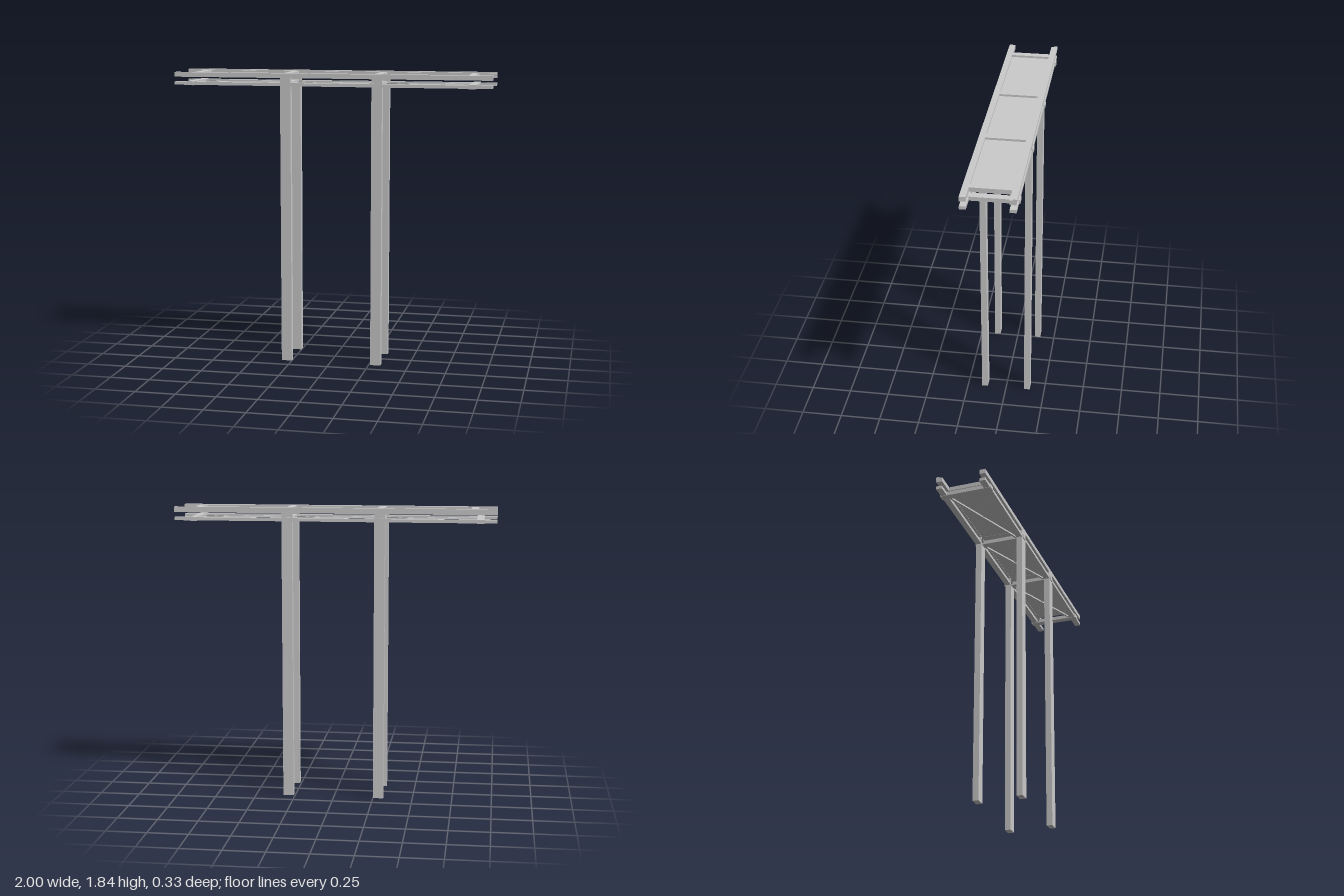
import * as THREE from 'three';

const material = new THREE.MeshStandardMaterial({ color: 0xcccccc, flatShading: true });

export function createModel() {
  const model = new THREE.Group();

  // Box given by its [min, max] extent on each axis
  function bar(name, [x0, x1], [y0, y1], [z0, z1]) {
    const mesh = new THREE.Mesh(new THREE.BoxGeometry(x1 - x0, y1 - y0, z1 - z0), material);
    mesh.name = name;
    mesh.position.set((x0 + x1) / 2, (y0 + y1) / 2, (z0 + z1) / 2);
    model.add(mesh);
    return mesh;
  }
  const around = (c, half) => [c - half, c + half];

  // Four tall posts
  const postX = [-0.283, 0.293];
  for (const x of postX)
    for (const z of [-0.137, 0.139]) bar('post', around(x, 0.033), [0, 1.81], around(z, 0.019));

  // Long rails, upper and lower, on both sides
  for (const z of [-0.139, 0.139]) {
    bar('upperRail', [-1, 1], [1.805, 1.834], around(z, 0.019));
    bar('lowerRail', [-1, 1], [1.755, 1.775], around(z, 0.019));
  }
  // Raised strip along the outer edge of the rear rail
  bar('rearLip', [-1, 1], [1.82, 1.84], [-0.161, -0.138]);

  // Deck panel, recessed between the upper rails
  bar('deck', [-0.885, 0.89], [1.807, 1.82], [-0.13, 0.13]);

  // Cross members framing the deck
  for (const x of [-0.862, -0.283, 0.29, 0.87])
    bar('deckCrossbar', around(x, 0.022), [1.806, 1.833], [-0.135, 0.135]);

  // Lower cross members, their ends standing proud of the rails
  const lowerX = [-0.898, -0.283, 0.29, 0.877];
  for (const x of lowerX)
    bar('lowerCrossbar', around(x, 0.022), [1.753, 1.778], [-0.165, 0.163]);

  // Crossed horizontal braces in each of the three bays
  for (let i = 0; i < 3; i++) {
    const dx = lowerX[i + 1] - lowerX[i], dz = 0.25;
    const length = Math.hypot(dx, dz), mid = (lowerX[i] + lowerX[i + 1]) / 2;
    for (const s of [-1, 1]) {
      const brace = bar('diagonalBrace', around(mid, length / 2), around(1.765 + s * 0.003, 0.005), around(0, 0.006));
      brace.rotation.y = s * Math.atan2(dz, dx);
    }
  }

  return model;
}
